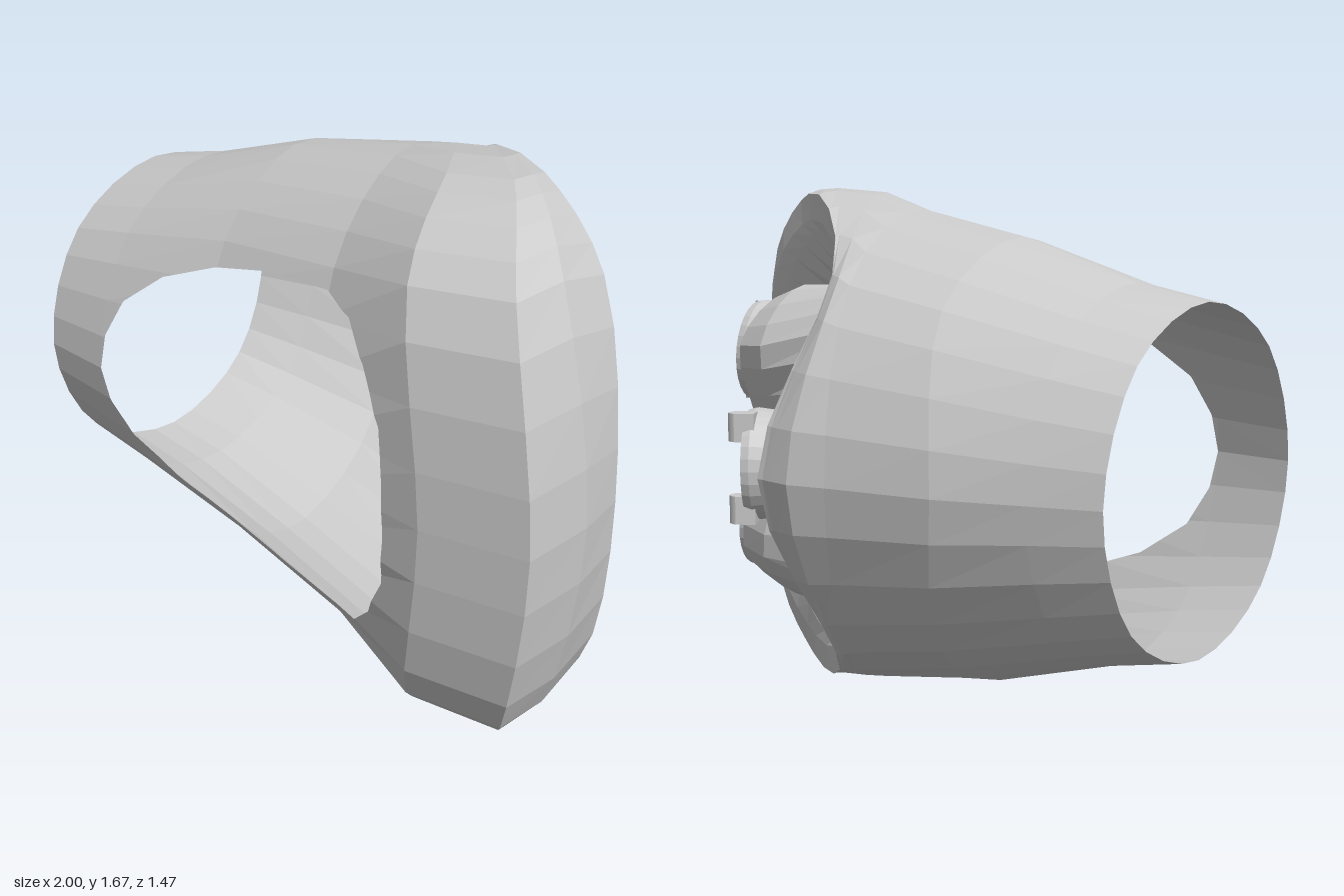
import * as THREE from 'three';

const MID = 0.835; // height of the mirror plane
const SEGS = 32;
const flat = new THREE.MeshStandardMaterial({ color: 0xcccccc, flatShading: true, side: THREE.DoubleSide });
const smooth = new THREE.MeshStandardMaterial({ color: 0xcccccc, side: THREE.DoubleSide });

// Closed cross-section from five points [x, half height, z], front to back, mirrored in y
function ring(half) {
  const up = half.map(([x, h, z]) => new THREE.Vector3(x, MID + h, z));
  const down = half.slice(1, 4).reverse().map(([x, h, z]) => new THREE.Vector3(x, MID - h, z));
  const curve = new THREE.CatmullRomCurve3([...up, ...down], true);
  return Array.from({ length: SEGS }, (_, i) => curve.getPoint(i / SEGS));
}

// Triangles joining successive rings
function loft(rings) {
  const tris = [];
  for (let i = 0; i + 1 < rings.length; i++) {
    for (let j = 0; j < SEGS; j++) {
      const k = (j + 1) % SEGS;
      const a = rings[i][j], b = rings[i + 1][j], c = rings[i + 1][k], d = rings[i][k];
      tris.push([a, b, c], [a, c, d]);
    }
  }
  return tris;
}

// Remove a convex outline (counter-clockwise in x, y) from the front-facing half
function cutWindow(tris, outline) {
  const out = [];
  for (const tri of tris) {
    if (tri.some((p) => p.z < 0)) { out.push(tri); continue; }
    let poly = tri;
    for (let e = 0; e < outline.length && poly.length > 2; e++) {
      const a = outline[e], b = outline[(e + 1) % outline.length];
      const side = (p) => (b[0] - a[0]) * (p.y - a[1]) - (b[1] - a[1]) * (p.x - a[0]);
      const inner = [], outer = [];
      poly.forEach((p, i) => {
        const q = poly[(i + 1) % poly.length], sp = side(p), sq = side(q);
        (sp >= 0 ? inner : outer).push(p);
        if (sp >= 0 !== sq >= 0) {
          const m = p.clone().lerp(q, sp / (sp - sq));
          inner.push(m);
          outer.push(m);
        }
      });
      for (let i = 1; i + 1 < outer.length; i++) out.push([outer[0], outer[i], outer[i + 1]]);
      poly = inner;
    }
  }
  return out;
}

function triMesh(name, tris) {
  const geo = new THREE.BufferGeometry().setFromPoints(tris.flat());
  geo.computeVertexNormals();
  const mesh = new THREE.Mesh(geo, flat);
  mesh.name = name;
  return mesh;
}

// Nozzle facing +x, with a recessed lid and a two-ended clip on one side
function nozzle(name, [x, y, z], { turn, roll, clipZ, neck, neckRadius, depth }) {
  const g = new THREE.Group();
  g.name = name;
  const profile = [[neckRadius, -neck], [0.14, -0.08], [0.16, -0.06], [0.172, 0.03], [0.166, 0.055],
    [0.15, 0.055], [0.142, 0.03], [0, 0.03]].map(([r, h]) => new THREE.Vector2(r, h));
  const cup = new THREE.Mesh(new THREE.LatheGeometry(profile, 28).rotateZ(-Math.PI / 2), flat);
  cup.name = 'nozzleCup';
  cup.scale.z = depth;
  g.add(cup);
  for (const s of [-1, 1]) {
    const lug = new THREE.Mesh(new THREE.BoxGeometry(0.06, 0.085, 0.065), flat);
    lug.name = 'clipLug';
    lug.position.set(0.05, s * 0.125, clipZ);
    const pin = new THREE.Mesh(new THREE.CylinderGeometry(0.033, 0.033, 0.085, 10), smooth);
    pin.name = 'clipPin';
    pin.position.set(0.07, s * 0.125, clipZ);
    g.add(lug, pin);
  }
  const bar = new THREE.Mesh(new THREE.BoxGeometry(0.02, 0.2, 0.06), flat);
  bar.name = 'clipBar';
  bar.position.set(0.035, 0, clipZ);
  g.add(bar);
  g.position.set(x, y, z);
  g.rotation.set(roll, turn, 0);
  return g;
}

export function createModel() {
  const model = new THREE.Group();
  model.name = 'taperedNozzleShell';

  // Outer shell, from the small open end to the slanted rim
  const rim = [[0.99, 0, 0.285], [0.87, 0.62, 0.215], [0.6, 0.815, 0.1], [0, 0.58, -0.42], [0.03, 0, -0.715]];
  const shell = loft([
    [[-1, 0, 0.55], [-1, 0.365, 0.4], [-1, 0.515, 0.035], [-1, 0.365, -0.33], [-1, 0, -0.48]],
    [[-0.74, 0, 0.58], [-0.75, 0.41, 0.41], [-0.77, 0.56, 0.03], [-0.79, 0.41, -0.375], [-0.8, 0, -0.55]],
    [[-0.25, 0, 0.62], [-0.3, 0.5, 0.435], [-0.36, 0.685, 0.04], [-0.43, 0.49, -0.44], [-0.55, 0, -0.64]],
    [[0.25, 0, 0.69], [0.2, 0.57, 0.525], [0.1, 0.765, 0.12], [-0.1, 0.55, -0.46], [-0.22, 0, -0.7]],
    [[0.65, 0, 0.735], [0.54, 0.645, 0.64], [0.4, 0.82, 0.28], [-0.05, 0.57, -0.45], [-0.1, 0, -0.73]],
    [[0.97, 0, 0.68], [0.84, 0.66, 0.59], [0.6, 0.835, 0.25], [-0.01, 0.575, -0.43], [-0.02, 0, -0.72]],
    [[1, 0, 0.45], [0.865, 0.665, 0.41], [0.61, 0.83, 0.17], [0, 0.575, -0.425], [0.01, 0, -0.715]],
    rim,
  ].map(ring));

  // Large rounded window in the front
  const edge = [[-0.74, 0], [-0.72, 0.12], [-0.66, 0.24], [-0.51, 0.35], [-0.3, 0.43], [-0.05, 0.49],
    [0.2, 0.515], [0.33, 0.49], [0.42, 0.4], [0.5, 0.25], [0.515, 0.1]];
  const outline = [
    ...edge.map(([x, h]) => [x, MID - h]),
    ...edge.slice(1).reverse().map(([x, h]) => [x, MID + h]),
  ];
  model.add(triMesh('shell', cutWindow(shell, outline)));

  // Lip inside the rim, then the sunken floor down to the pod
  const base = [[0.2, 0, 0.09], [0.4, 0.35, 0.15], [0.2, 0.525, -0.09], [-0.04, 0.43, -0.34], [-0.04, 0, -0.34]];
  model.add(triMesh('rimLipAndFloor', loft([
    rim,
    [[0.95, 0, 0.25], [0.85, 0.55, 0.19], [0.55, 0.73, 0.06], [0.01, 0.49, -0.38], [0.01, 0, -0.62]],
    [[0.87, 0, 0.225], [0.76, 0.52, 0.17], [0.47, 0.69, 0.02], [-0.04, 0.46, -0.38], [-0.04, 0, -0.6]],
    base,
  ].map(ring))));

  // Waisted twin pod with a closed end face
  const podRings = [
    base,
    [[0.42, 0, 0.075], [0.45, 0.35, 0.13], [0.42, 0.52, -0.11], [0.36, 0.34, -0.375], [0.36, 0, -0.29]],
    [[0.5, 0, 0.06], [0.5, 0.34, 0.1], [0.5, 0.49, -0.11], [0.5, 0.33, -0.33], [0.5, 0, -0.24]],
    [[0.53, 0, 0.04], [0.53, 0.33, 0.08], [0.53, 0.47, -0.1], [0.53, 0.32, -0.29], [0.53, 0, -0.22]],
  ].map(ring);
  const centre = Array(SEGS).fill(new THREE.Vector3(0.53, MID, -0.1));
  model.add(triMesh('twinPod', loft([...podRings, centre])));

  // Two nozzles on the pod face and one angled behind
  const twin = { turn: 0.33, roll: 0.16, clipZ: 0.055, neck: 0.1, neckRadius: 0.14, depth: 0.9 };
  model.add(
    nozzle('upperNozzle', [0.61, MID + 0.287, -0.08], twin),
    nozzle('lowerNozzle', [0.61, MID - 0.287, -0.08], twin),
    nozzle('rearNozzle', [0.2, MID, -0.505],
      { turn: 0.62, roll: 0, clipZ: -0.085, neck: 0.22, neckRadius: 0.125, depth: 0.97 }),
  );
  return model;
}
